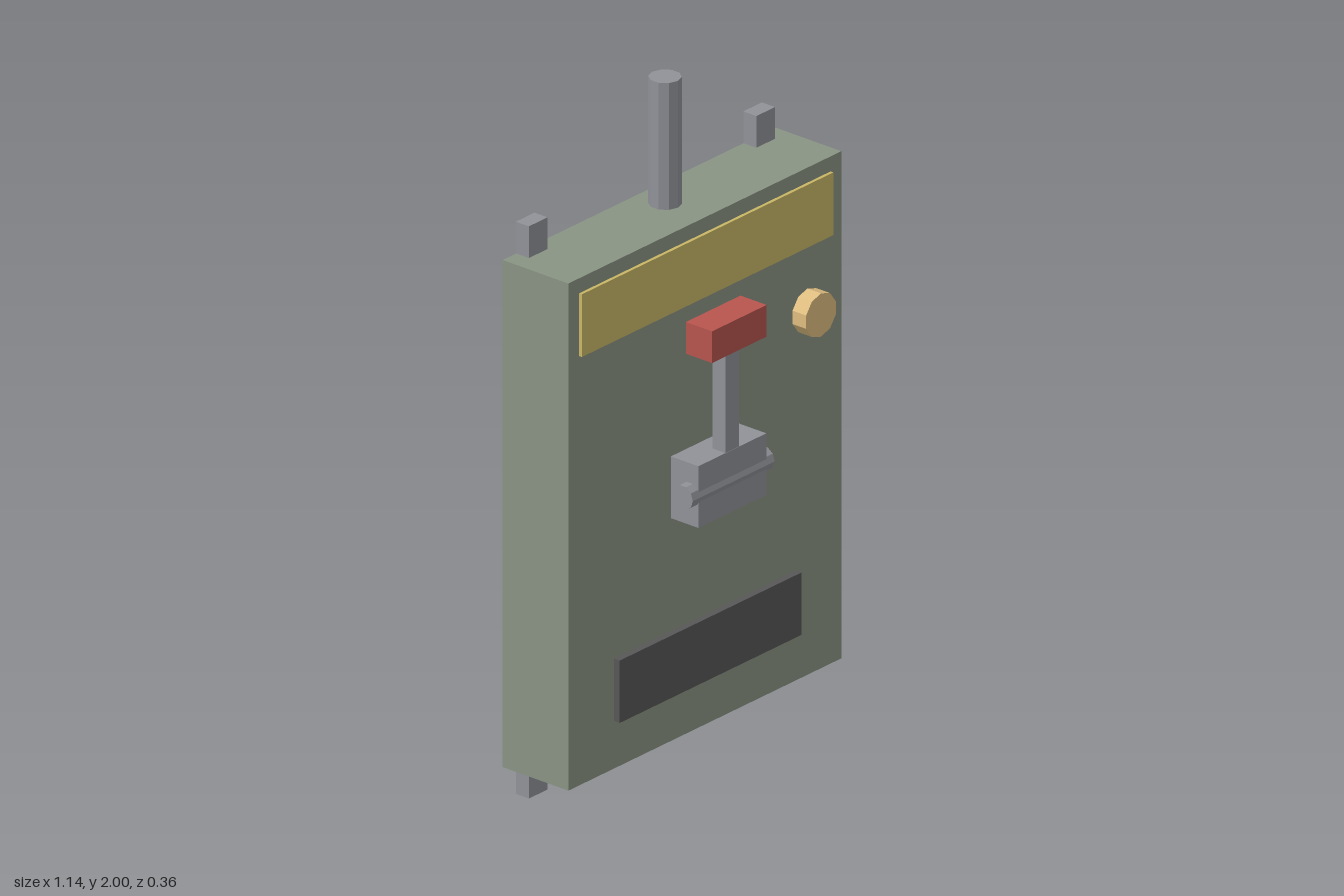
import * as THREE from 'three';

const paint = (color) => new THREE.MeshStandardMaterial({ color, flatShading: true });
const green = paint(0x8a9484), metal = paint(0x909298), yellow = paint(0xc9b765);
const red = paint(0xb8554e), dark = paint(0x575757), amber = paint(0xdfbd80);

export function createModel() {
  const model = new THREE.Group();
  model.name = 'leverSwitchBox';

  const add = (name, geometry, material, x, y, z) => {
    const mesh = new THREE.Mesh(geometry, material);
    mesh.name = name;
    mesh.position.set(x, y, z);
    model.add(mesh);
    return mesh;
  };
  // Box given by its centre x, width, and y and z ranges
  const box = (name, material, x, width, y0, y1, z0, z1) =>
    add(name, new THREE.BoxGeometry(width, y1 - y0, z1 - z0), material, x, (y0 + y1) / 2, (z0 + z1) / 2);
  const rod = (name, material, radius, length, x, y, z) =>
    add(name, new THREE.CylinderGeometry(radius, radius, length, 10), material, x, y, z);

  // Cabinet and its front plates
  box('cabinet', green, 0, 1.14, 0.1, 1.62, -0.18, 0.056);
  box('labelPlate', yellow, 0, 1.05, 1.387, 1.575, 0.04, 0.066);
  box('lowerPlate', dark, 0, 0.76, 0.243, 0.43, 0.04, 0.077);

  // Mounting rails set into the back
  for (const side of [-1, 1]) {
    box(side > 0 ? 'leftRail' : 'rightRail', metal, side * 0.475, 0.078, 0, 1.715, -0.181, -0.134);
  }

  // Conduit rising from the top
  rod('conduit', metal, 0.046, 0.4, 0, 1.8, -0.087);

  // Lever assembly: bracket, pivot, arm and grip
  box('leverBracket', metal, 0, 0.284, 0.768, 0.953, 0.05, 0.155);
  rod('leverPivot', metal, 0.036, 0.342, 0, 0.86, 0.124).rotation.z = Math.PI / 2;
  box('leverArm', metal, 0, 0.057, 0.86, 1.27, 0.108, 0.154);
  box('leverGrip', red, 0, 0.228, 1.26, 1.355, 0.086, 0.18);

  // Indicator lamp
  rod('indicatorLamp', amber, 0.065, 0.065, 0.428, 1.193, 0.0725).rotation.x = Math.PI / 2;

  return model;
}
